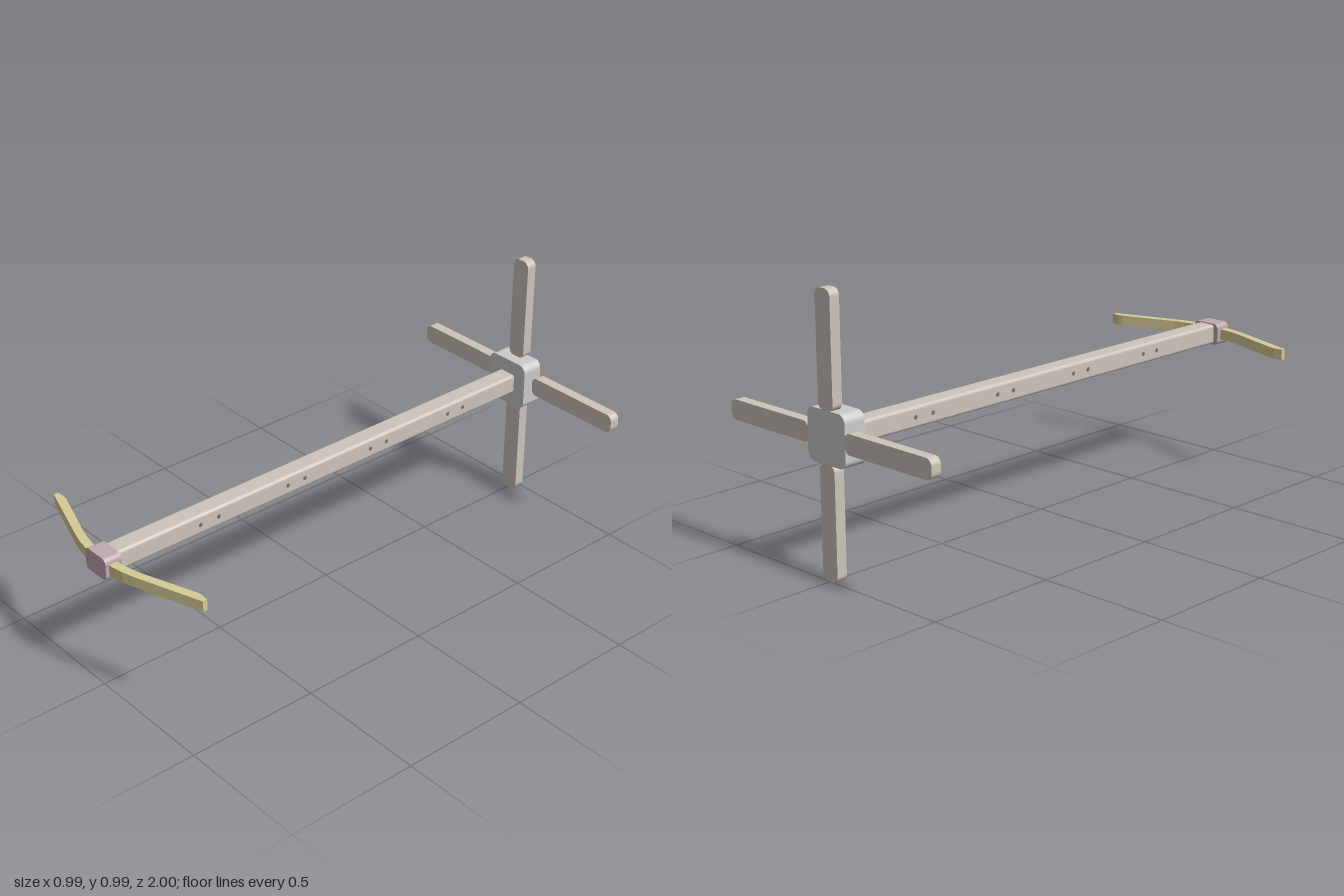
import * as THREE from 'three';

const CY = 0.494; // height of the beam axis
const mat = (color) => new THREE.MeshStandardMaterial({ color, side: THREE.DoubleSide });
const beige = mat(0xcdc4ba), grey = mat(0xd6d5d3), pink = mat(0xbfa9b1), yellow = mat(0xd6ca95), dark = mat(0x77716b);

// Rectangle with separate corner radii on the left and right sides
function roundedRect(x0, y0, x1, y1, rl, rr = rl) {
  const s = new THREE.Shape();
  s.moveTo(x0 + rl, y0);
  s.lineTo(x1 - rr, y0);
  if (rr) s.absarc(x1 - rr, y0 + rr, rr, -Math.PI / 2, 0);
  s.lineTo(x1, y1 - rr);
  if (rr) s.absarc(x1 - rr, y1 - rr, rr, 0, Math.PI / 2);
  s.lineTo(x0 + rl, y1);
  if (rl) s.absarc(x0 + rl, y1 - rl, rl, Math.PI / 2, Math.PI);
  s.lineTo(x0, y0 + rl);
  if (rl) s.absarc(x0 + rl, y0 + rl, rl, Math.PI, Math.PI * 1.5);
  return s;
}

// Extrude a front outline from z0 to z1
function slab(name, shape, z0, z1, material) {
  const geo = new THREE.ExtrudeGeometry(shape, { depth: z1 - z0, bevelEnabled: false, curveSegments: 8 });
  const mesh = new THREE.Mesh(geo, material);
  mesh.name = name;
  mesh.position.z = z0;
  return mesh;
}

export function createModel() {
  const root = new THREE.Group();
  root.name = 'model';
  const body = new THREE.Group();
  body.name = 'body';
  body.position.y = CY;
  root.add(body);

  // Rear hub and its four flat fins
  body.add(slab('hub', roundedRect(-0.092, -0.092, 0.092, 0.092, 0.03), -1, -0.915, grey));
  for (let i = 0; i < 4; i++) {
    const fin = slab('fin', roundedRect(0.09, -0.036, 0.494, 0.036, 0.025), -1, -0.96, beige);
    fin.rotation.z = i * Math.PI / 2;
    body.add(fin);
  }

  // Beam in five lengths, each of two mirrored halves
  const joints = [0.555, 0.17, -0.218, -0.604];
  const ends = [0.94, ...joints, -0.915];
  for (let i = 0; i < ends.length - 1; i++) {
    body.add(slab('beamHalfLeft', roundedRect(0, -0.038, 0.038, 0.038, 0, 0.012), ends[i + 1], ends[i], beige));
    body.add(slab('beamHalfRight', roundedRect(-0.038, -0.038, 0, 0.038, 0.012, 0), ends[i + 1], ends[i], beige));
  }

  // A pair of cross pins at each joint
  const pinGeo = new THREE.CylinderGeometry(0.008, 0.008, 0.077, 16).rotateZ(Math.PI / 2);
  for (const z of joints) {
    for (const dz of [-0.039, 0.039]) {
      const pin = new THREE.Mesh(pinGeo, dark);
      pin.name = 'jointPin';
      pin.position.z = z + dz;
      body.add(pin);
    }
  }

  // Front cap
  body.add(slab('frontCap', roundedRect(-0.057, -0.042, 0.057, 0.042, 0.02), 0.935, 1, pink));

  // Swept front arms, drawn in plan (x, z) and mirrored
  const plan = [[0, 0.955], [0.08, 0.953], [0.12, 0.946], [0.165, 0.934], [0.37, 0.863], [0.39, 0.859],
    [0.422, 0.863], [0.422, 0.88], [0.165, 0.966], [0.12, 0.979], [0.08, 0.986], [0, 0.988]];
  for (const side of [1, -1]) {
    const shape = new THREE.Shape(plan.map(([x, z]) => new THREE.Vector2(side * x, z)));
    const geo = new THREE.ExtrudeGeometry(shape, { depth: 0.04, bevelEnabled: false });
    geo.rotateX(Math.PI / 2).translate(0, 0.02, 0);
    const arm = new THREE.Mesh(geo, yellow);
    arm.name = side > 0 ? 'leftArm' : 'rightArm';
    body.add(arm);
  }
  return root;
}
